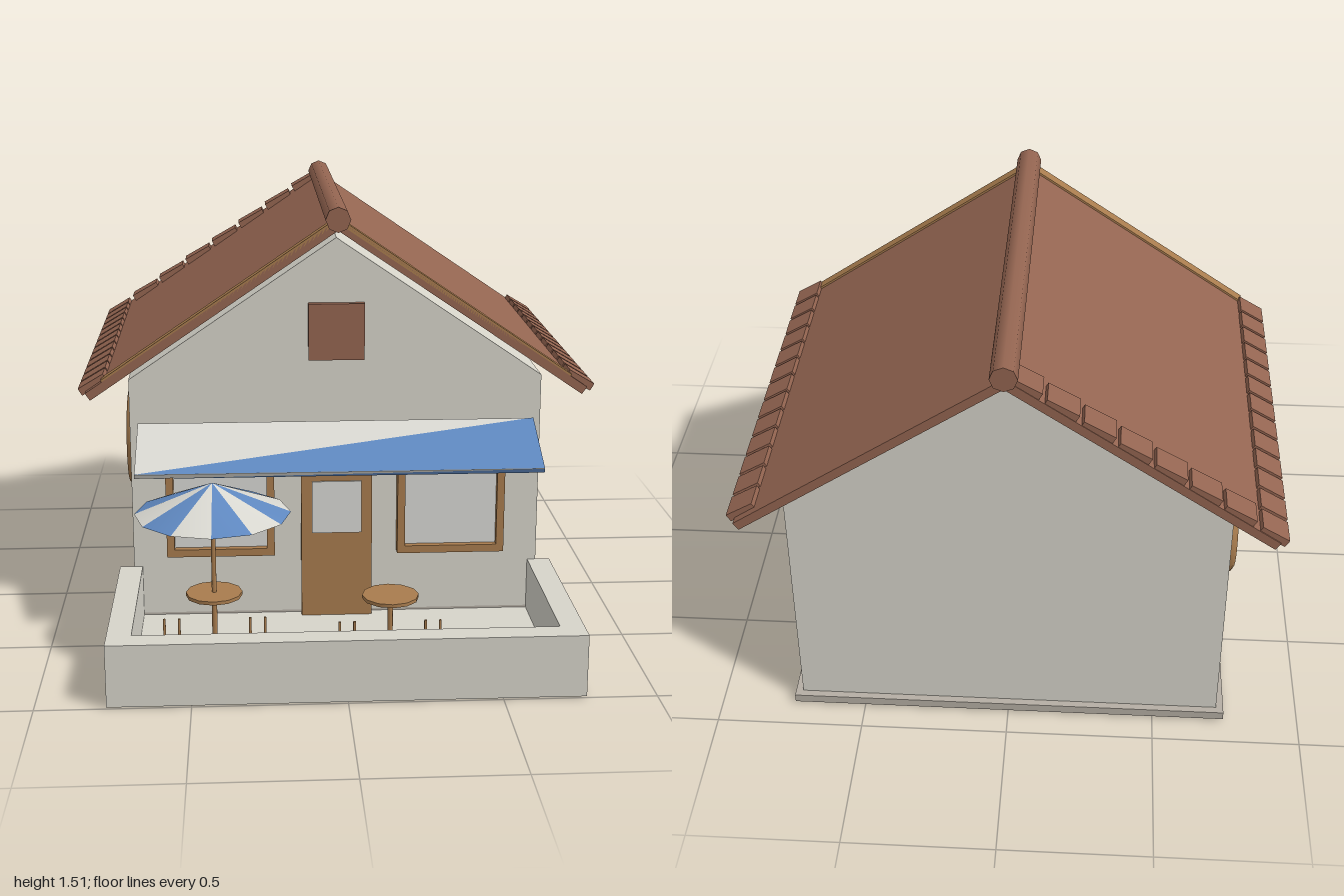
import * as THREE from 'three';

const paint = (name, color, side = THREE.FrontSide) => {
  const m = new THREE.MeshStandardMaterial({ color, side });
  m.name = name;
  return m;
};

export function createModel() {
  const plaster = paint('plaster', 0xd6d4ca);
  const stone = paint('stone', 0xb5aea4);
  const clay = paint('clay', 0x946551);
  const wood = paint('wood', 0xa87c4e);
  const glass = paint('glass', 0xd8d8d4);
  const blue = paint('blueCloth', 0x5f88c0, THREE.DoubleSide);
  const white = paint('whiteCloth', 0xd8d7d0, THREE.DoubleSide);

  const model = new THREE.Group();
  model.name = 'cafe';

  const add = (name, geometry, material, x = 0, y = 0, z = 0, parent = model) => {
    const mesh = new THREE.Mesh(geometry, material);
    mesh.name = name;
    mesh.position.set(x, y, z);
    parent.add(mesh);
    return mesh;
  };
  const box = (name, material, w, h, d, x, y, z, parent) =>
    add(name, new THREE.BoxGeometry(w, h, d), material, x, y, z, parent);
  // Box given by its lower and upper limits
  const block = (name, material, x0, x1, y0, y1, z0, z1) =>
    box(name, material, x1 - x0, y1 - y0, z1 - z0, (x0 + x1) / 2, (y0 + y1) / 2, (z0 + z1) / 2);
  const group = (name, x = 0, y = 0, z = 0) => {
    const g = new THREE.Group();
    g.name = name;
    g.position.set(x, y, z);
    model.add(g);
    return g;
  };
  const polygon = (points) => new THREE.Shape(points.map(([x, y]) => new THREE.Vector2(x, y)));

  // House body, plinth and gable
  block('plinth', stone, -0.745, 0.745, 0.008, 0.038, -0.905, 0.3);
  block('houseWalls', plaster, -0.72, 0.72, 0.038, 0.9, -0.88, 0.3);
  add('gable', new THREE.ExtrudeGeometry(
    polygon([[-0.72, 0.9], [0.72, 0.9], [0, 1.39]]),
    { depth: 1.18, bevelEnabled: false }), plaster, 0, 0, -0.88);
  block('atticShutter', clay, -0.097, 0.097, 0.967, 1.165, 0.3, 0.325);

  // Roof slopes, each built in its own tilted frame
  const pitch = Math.atan(0.68);
  for (const side of [-1, 1]) {
    const slope = group(side < 0 ? 'rightRoofSlope' : 'leftRoofSlope', 0, 1.447, 0);
    slope.rotation.z = -side * pitch;
    box('roofSlab', clay, 1.03, 0.03, 1.395, side * 0.515, 0, -0.2925, slope);
    box('bargeBoard', wood, 0.96, 0.016, 0.045, side * 0.48, 0.014, 0.3825, slope);
    const firstZ = side < 0 ? -0.94 : -0.915;
    for (let i = 0; i < 13; i++) {
      const tile = box('eaveTile', clay, 0.1, 0.028, 0.092,
        side * 0.998, 0.02, firstZ + i * 0.1055, slope);
      tile.rotation.z = side * 0.06;
    }
    // Verge tiles run up one rear edge only
    if (side < 0) for (let i = 0; i < 7; i++) {
      const tile = box('vergeTile', clay, 0.112, 0.026, 0.09,
        side * (0.862 - i * 0.134), 0.022, -0.943, slope);
      tile.rotation.z = side * 0.08;
    }
  }
  const ridge = add('ridge', new THREE.CylinderGeometry(0.043, 0.043, 1.415, 8), clay, 0, 1.467, -0.2875);
  ridge.rotation.x = Math.PI / 2;

  // Front windows
  const frameShape = polygon([[-0.19, -0.185], [0.19, -0.185], [0.19, 0.185], [-0.19, 0.185]]);
  frameShape.holes.push(polygon([[-0.163, -0.158], [-0.163, 0.158], [0.163, 0.158], [0.163, -0.158]]));
  for (const x of [-0.41, 0.405]) {
    const win = group('frontWindow', x, 0.448, 0.3);
    add('windowFrame', new THREE.ExtrudeGeometry(frameShape, { depth: 0.045, bevelEnabled: false }),
      wood, 0, 0, 0, win);
    box('windowPane', glass, 0.326, 0.316, 0.02, 0, 0, 0.01, win);
  }

  // Door
  block('door', wood, -0.125, 0.125, 0.03, 0.583, 0.3, 0.335);
  block('doorPane', glass, -0.087, 0.087, 0.343, 0.533, 0.335, 0.341);

  // Round window on the side wall
  const porthole = group('roundWindow', -0.745, 0.505, -0.4);
  porthole.rotation.y = -Math.PI / 2;
  add('roundFrame', new THREE.TorusGeometry(0.172, 0.03, 10, 32), wood, 0, 0, 0, porthole);
  add('roundPane', new THREE.CircleGeometry(0.165, 32), glass, 0, 0, -0.018, porthole);

  // Terrace floor and parapet
  block('terraceFloor', plaster, -0.69, 0.69, 0.008, 0.03, 0.3, 0.92);
  block('frontParapet', plaster, -0.77, 0.77, 0.005, 0.215, 0.92, 1);
  for (const s of [-1, 1])
    box('sideParapet', plaster, 0.08, 0.207, 0.62, s * 0.73, 0.1115, 0.61);

  // Awning with a diagonal blue half
  const awning = group('awning', 0, 0.69, 0.4525);
  awning.rotation.x = Math.atan(0.11 / 0.245);
  const reach = 0.134, half = 0.008;
  box('awningCloth', white, 1.38, half * 2, reach * 2, 0, 0, 0, awning);
  const blueHalf = (h) => new THREE.ShapeGeometry(polygon([[-0.69, -h], [0.69, -h], [0.69, h]]));
  const topHalf = add('awningBlueTop', blueHalf(reach), blue, 0, half + 0.002, 0, awning);
  topHalf.rotation.x = -Math.PI / 2;
  add('awningBlueEdge', blueHalf(half), blue, 0, 0, reach + 0.002, awning);

  // Tables with stool posts on both sides
  const table = (x, z) => {
    const set = group('tableSet', x, 0, z);
    add('tableTop', new THREE.CylinderGeometry(0.095, 0.095, 0.012, 12), wood, 0, 0.24, 0, set);
    add('tableCollar', new THREE.CylinderGeometry(0.02, 0.02, 0.014, 8), wood, 0, 0.227, 0, set);
    add('tableLeg', new THREE.CylinderGeometry(0.009, 0.009, 0.2, 8), wood, 0, 0.125, 0, set);
    for (const dx of [-0.17, -0.12, 0.12, 0.17])
      add('stoolPost', new THREE.CylinderGeometry(0.005, 0.005, 0.145, 6), wood, dx, 0.0775, 0, set);
  };
  table(-0.43, 0.635);
  table(0.16, 0.69);

  // Striped parasol
  const parasol = group('parasol', -0.43, 0, 0.635);
  add('parasolPole', new THREE.CylinderGeometry(0.008, 0.008, 0.625, 8), wood, 0, 0.3125, 0, parasol);
  const step = Math.PI / 6;
  for (let i = 0; i < 12; i++)
    add('parasolPanel', new THREE.ConeGeometry(0.26, 0.105, 1, 1, true, i * step, step),
      i % 2 ? white : blue, 0, 0.5775, 0, parasol);

  // Planter
  block('planter', clay, 0.437, 0.54, 0.03, 0.14, 0.812, 0.905);

  return model;
}
